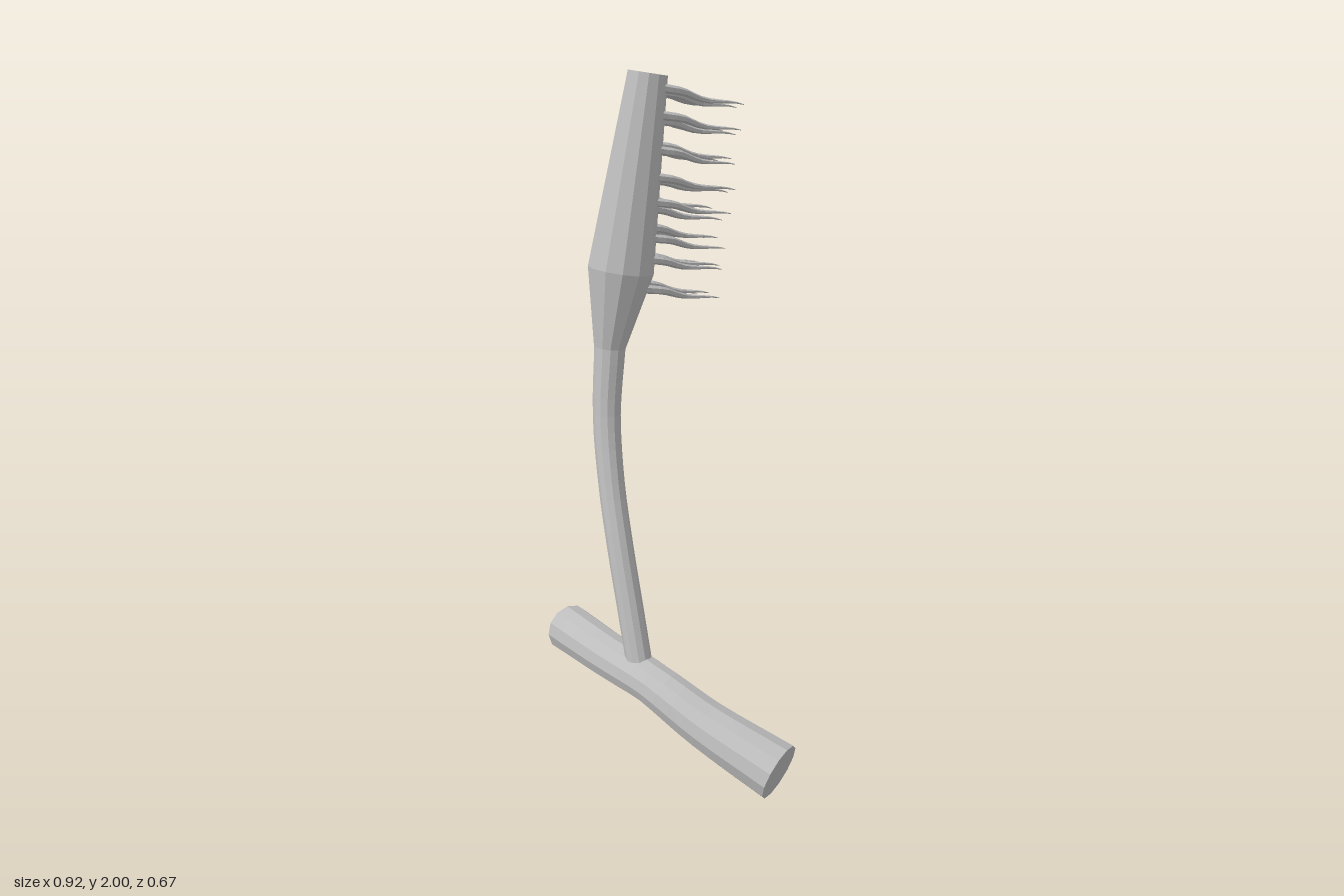
import * as THREE from 'three';

const grey = new THREE.MeshStandardMaterial({ color: 0xbdbdbd, flatShading: true });
grey.name = 'light grey';

// Closed loft of round sections: rings are [x, y, z, radius]; ref fixes where each section starts.
function loft(rings, sides, ref) {
  const centres = rings.map(r => new THREE.Vector3(r[0], r[1], r[2]));
  const pos = [], index = [], last = rings.length - 1;
  rings.forEach((r, i) => {
    const t = centres[Math.min(i + 1, last)].clone().sub(centres[Math.max(i - 1, 0)]).normalize();
    const u = ref.clone().addScaledVector(t, -ref.dot(t)).normalize();
    const v = t.clone().cross(u);
    for (let k = 0; k < sides; k++) {
      const a = (k / sides) * Math.PI * 2;
      const p = centres[i].clone().addScaledVector(u, Math.cos(a) * r[3]).addScaledVector(v, Math.sin(a) * r[3]);
      pos.push(p.x, p.y, p.z);
    }
  });
  for (let i = 0; i < last; i++) {
    for (let k = 0; k < sides; k++) {
      const a = i * sides + k, b = i * sides + (k + 1) % sides;
      index.push(a, b, b + sides, a, b + sides, a + sides);
    }
  }
  // end caps
  const e = last * sides;
  for (let k = 1; k < sides - 1; k++) index.push(0, k + 1, k, e, e + k, e + k + 1);
  const g = new THREE.BufferGeometry();
  g.setAttribute('position', new THREE.Float32BufferAttribute(pos, 3));
  g.setIndex(index);
  g.computeVertexNormals();
  return g;
}

// Smooth the key rings along a curve, with the radius following.
function smooth(keys, steps) {
  const curve = new THREE.CatmullRomCurve3(keys.map(k => new THREE.Vector3(k[0], k[1], k[2])));
  const out = [];
  for (let i = 0; i <= steps; i++) {
    const t = i / steps, f = t * (keys.length - 1), j = Math.min(Math.floor(f), keys.length - 2);
    const p = curve.getPoint(t);
    out.push([p.x, p.y, p.z, THREE.MathUtils.lerp(keys[j][3], keys[j + 1][3], f - j)]);
  }
  return out;
}

function seeded(seed) {
  return () => (seed = (seed * 16807) % 2147483647) / 2147483647;
}

export function createModel() {
  const group = new THREE.Group();
  const X = new THREE.Vector3(1, 0, 0), Y = new THREE.Vector3(0, 1, 0);
  const add = (name, geometry, parent = group) => {
    const m = new THREE.Mesh(geometry, grey);
    m.name = name;
    parent.add(m);
  };

  // bent branch at the base
  add('branch', loft(smooth([
    [-0.452, 0.228, 0.270, 0.077], [-0.2, 0.236, 0.262, 0.071], [0, 0.228, 0.236, 0.067],
    [0.2, 0.163, 0.178, 0.076], [0.424, 0.09, 0.087, 0.088],
  ], 16), 12, Y));

  // curved stem
  add('stem', loft(smooth([
    [-0.055, 0.24, 0.248, 0.04], [-0.118, 0.43, 0.24, 0.04], [-0.185, 0.62, 0.23, 0.04],
    [-0.25, 0.8, 0.214, 0.04], [-0.305, 1.0, 0.19, 0.042], [-0.33, 1.21, 0.156, 0.047],
  ], 20), 12, X));

  // thick tapering head
  add('head', loft([
    [-0.33, 1.2, 0.158, 0.047], [-0.335, 1.43, 0.108, 0.098], [-0.348, 1.99, -0.008, 0.058],
  ], 12, X));

  // three columns of wavy bristles on the back of the head
  const bristles = new THREE.Group();
  bristles.name = 'bristles';
  group.add(bristles);
  const rand = seeded(11);
  for (let row = 0; row < 8; row++) {
    for (let col = -1; col <= 1; col++) {
      const f = row / 7;
      const y = 1.95 - 0.583 * f + (rand() - 0.5) * 0.03;
      const x = -0.347 + 0.008 * f + col * (0.04 + 0.012 * f);
      const z = -0.035 + 0.085 * f + Math.abs(col) * 0.012;
      const length = 0.305 - 0.02 * f - rand() * 0.025;
      const phase = rand() * 0.8, rings = [];
      for (let i = 0; i <= 10; i++) {
        const t = i / 10, wave = Math.sin(t * 8 + phase) * 0.009 * Math.min(1, t * 3);
        rings.push([x + wave, y - 0.078 * t + wave * 0.7, z - length * t, 0.0125 * (1 - t ** 1.5) + 0.001]);
      }
      add('bristle', loft(rings, 6, Y), bristles);
    }
  }
  return group;
}
